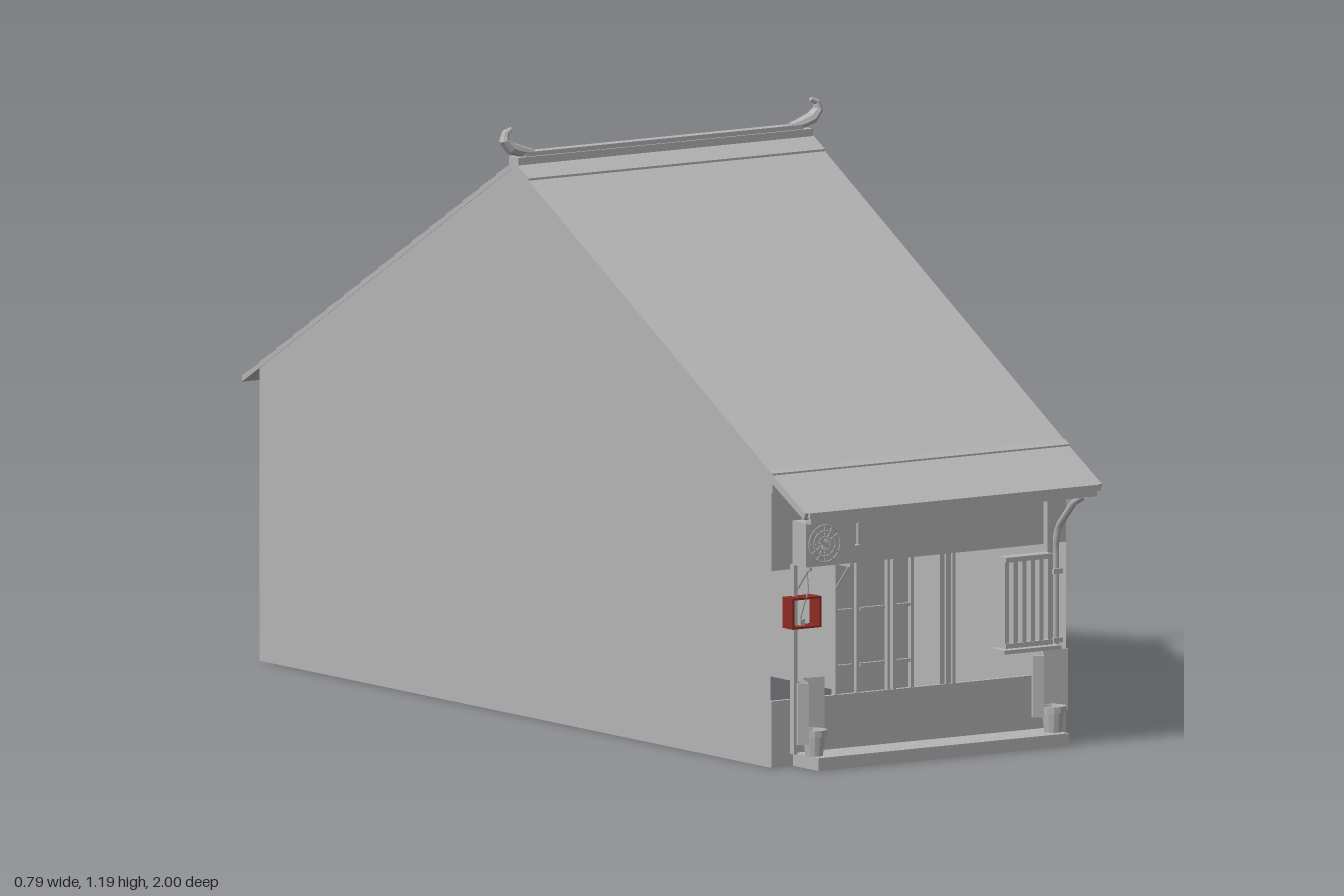
import * as THREE from 'three';

const grey = new THREE.MeshStandardMaterial({ color: 0xb4b4b4, side: THREE.DoubleSide });
grey.name = 'plain grey';
const red = new THREE.MeshStandardMaterial({ color: 0x8c2a22, side: THREE.DoubleSide });
red.name = 'dark red';

export function createModel() {
  const model = new THREE.Group();
  model.name = 'house';

  const add = (name, geo, mat = grey) => {
    const m = new THREE.Mesh(geo, mat);
    m.name = name;
    model.add(m);
    return m;
  };
  const box = (name, x0, x1, y0, y1, z0, z1, mat) => {
    const g = new THREE.BoxGeometry(x1 - x0, y1 - y0, z1 - z0);
    g.translate((x0 + x1) / 2, (y0 + y1) / 2, (z0 + z1) / 2);
    return add(name, g, mat);
  };
  // side outline as [z, y] points, swept along x
  const shapeOf = pts => new THREE.Shape(pts.map(([z, y]) => new THREE.Vector2(-z, y)));
  const profile = (name, pts, x0, x1) => {
    const g = new THREE.ExtrudeGeometry(shapeOf(pts), { depth: x1 - x0, bevelEnabled: false });
    g.rotateY(Math.PI / 2).translate(x0, 0, 0);
    return add(name, g);
  };
  const pipe = (name, pts, r, sides = 6) => {
    const path = new THREE.CurvePath();
    const v = pts.map(p => new THREE.Vector3(...p));
    for (let i = 1; i < v.length; i++) path.add(new THREE.LineCurve3(v[i - 1], v[i]));
    return add(name, new THREE.TubeGeometry(path, (v.length - 1) * 6, r, sides));
  };

  // side and back walls, open underneath
  for (const s of [-1, 1]) {
    const g = new THREE.ShapeGeometry(shapeOf([[0.87, 0], [0.87, 0.597], [-0.04, 1.118], [-0.94, 0.598], [-0.94, 0]]));
    g.rotateY(Math.PI / 2).translate(s * 0.361, 0, 0);
    if (s < 0) {
      // turn the far wall outward
      const a = g.index.array;
      for (let i = 0; i < a.length; i += 3) [a[i], a[i + 1]] = [a[i + 1], a[i]];
      g.computeVertexNormals();
    }
    add('sideWall', g);
  }
  box('backWall', -0.36, 0.36, 0, 0.595, -0.94, -0.935);

  // roof: plain front slope, shingle courses at the back
  profile('frontRoof', [[-0.04, 1.122], [0.88, 0.596], [0.88, 0.586], [-0.04, 1.111]], -0.362, 0.362);
  const courses = 16, back = [[-0.04, 1.111], [-0.04, 1.122]];
  for (let i = 1; i <= courses; i++) {
    const t = i / courses, z = -0.04 - 0.96 * t, y = 1.122 - 0.552 * t;
    back.push([z, y + 0.003], [z, y]);
  }
  back.push([-1, 0.56]);
  profile('shingledBackRoof', back, -0.362, 0.362);
  profile('ridgeFlashing', [[-0.03, 1.12], [0.015, 1.095], [0.015, 1.09], [-0.03, 1.115]], -0.362, 0.362);

  // ridge beam with curled tapering end horns
  box('ridgeBeam', -0.36, 0.36, 1.11, 1.132, -0.058, -0.024);
  box('ridgeCap', -0.34, 0.34, 1.132, 1.141, -0.053, -0.029);
  const hornPath = [[0.315, 1.137, 0.008], [0.345, 1.143, 0.012], [0.368, 1.151, 0.013],
    [0.384, 1.168, 0.01], [0.38, 1.183, 0.007], [0.366, 1.19, 0.004]];
  for (const s of [-1, 1]) {
    const pos = [], idx = [], n = 8, last = hornPath.length - 1;
    hornPath.forEach(([x, y, r], i) => {
      const a = hornPath[Math.max(i - 1, 0)], b = hornPath[Math.min(i + 1, last)];
      const l = Math.hypot(b[0] - a[0], b[1] - a[1]);
      const nx = -(b[1] - a[1]) / l, ny = (b[0] - a[0]) / l;
      for (let k = 0; k < n; k++) {
        const c = Math.cos(k / n * Math.PI * 2) * r, d = Math.sin(k / n * Math.PI * 2) * r;
        pos.push(s * (x + nx * c), y + ny * c, -0.041 + d * 1.2);
        const q = i * n + k, w = i * n + (k + 1) % n;
        if (i < last) {
          if (s > 0) idx.push(q, w, q + n, w, w + n, q + n);
          else idx.push(q, q + n, w, w, q + n, w + n);
        }
      }
    });
    for (let k = 1; k < n - 1; k++) {
      const e = last * n;
      idx.push(...(s > 0 ? [0, k + 1, k, e, e + k, e + k + 1] : [0, k, k + 1, e, e + k + 1, e + k]));
    }
    const g = new THREE.BufferGeometry();
    g.setAttribute('position', new THREE.Float32BufferAttribute(pos, 3));
    g.setIndex(idx);
    const flat = g.toNonIndexed();
    flat.computeVertexNormals();
    add('ridgeHorn', flat);
  }

  // front canopy, joint strip and gutter
  profile('canopy', [[0.868, 0.602], [0.996, 0.532], [0.99, 0.518], [0.868, 0.584]], -0.363, 0.362);
  profile('canopyJoint', [[0.862, 0.607], [0.88, 0.599], [0.88, 0.56], [0.865, 0.56]], -0.363, 0.363);
  box('gutterLip', -0.355, 0.355, 0.521, 0.532, 0.982, 1);
  box('gutter', -0.35, 0.35, 0.508, 0.521, 0.978, 0.996);

  // front wall: solid bands above and below an open middle
  box('lowerFrontWall', -0.36, 0.36, 0, 0.135, 0.862, 0.872);
  box('upperFrontWall', -0.36, 0.36, 0.4, 0.59, 0.862, 0.872);
  box('leftPost', 0.305, 0.318, 0.025, 0.52, 0.872, 0.886);
  box('rightPost', -0.315, -0.307, 0.025, 0.41, 0.872, 0.886);
  box('frontStep', -0.308, 0.305, 0, 0.026, 0.868, 0.962);

  // sliding door screens with bars
  box('doorPanel', -0.2, -0.01, 0.13, 0.402, 0.852, 0.86);
  box('doorEdge', 0.055, 0.09, 0.13, 0.402, 0.85, 0.866);
  box('doorEdgeTrim', 0.066, 0.074, 0.135, 0.4, 0.866, 0.872);
  box('doorEdgeTrim', 0.082, 0.089, 0.135, 0.4, 0.866, 0.872);
  for (const x of [-0.203, -0.151, -0.076, -0.062, -0.018])
    box('doorUpright', x, x + 0.007, 0.135, 0.4, 0.86, 0.87);
  for (const y of [0.187, 0.3])
    for (const [a, b] of [[-0.196, -0.158], [-0.14, -0.08], [-0.055, -0.015]])
      box('doorRail', a, b, y, y + 0.007, 0.86, 0.868);

  // barred window and its sill
  box('windowSill', 0.173, 0.312, 0.192, 0.2, 0.872, 0.925);
  box('windowFrame', 0.19, 0.305, 0.375, 0.385, 0.876, 0.905);
  box('windowFrame', 0.19, 0.305, 0.2, 0.21, 0.876, 0.905);
  for (let i = 0; i < 6; i++) {
    const x = 0.19 + i * 0.021;
    box('windowBar', x, x + 0.01, 0.205, 0.38, 0.88, 0.902);
  }

  // drain pipe
  pipe('drainPipe', [[0.327, 0.51, 0.985], [0.327, 0.49, 0.945], [0.327, 0.435, 0.89],
    [0.327, 0.4, 0.882], [0.327, 0.02, 0.882]], 0.007, 8);
  for (const y of [0.2, 0.34]) box('pipeClip', 0.316, 0.338, y, y + 0.01, 0.87, 0.892);

  // air conditioner with fan grille, brackets and valve
  box('airConditioner', -0.315, -0.195, 0.41, 0.5, 0.88, 0.928);
  for (const r of [0.014, 0.026, 0.038]) {
    const g = new THREE.TorusGeometry(r, 0.0018, 4, 24);
    add('fanRing', g.translate(-0.27, 0.455, 0.929));
  }
  for (let i = 0; i < 6; i++) {
    const g = new THREE.BoxGeometry(0.076, 0.002, 0.003).rotateZ(i * Math.PI / 6);
    add('fanSpoke', g.translate(-0.27, 0.455, 0.929));
  }
  for (const x of [-0.304, -0.205]) {
    box('bracketArm', x - 0.003, x + 0.003, 0.402, 0.41, 0.87, 0.93);
    pipe('bracketBrace', [[x, 0.404, 0.922], [x, 0.352, 0.874]], 0.003, 4);
  }
  box('valveBlock', -0.195, -0.168, 0.425, 0.442, 0.885, 0.91);
  pipe('valvePipe', [[-0.166, 0.425, 0.897], [-0.166, 0.485, 0.897]], 0.004);
  pipe('cable', [[-0.304, 0.405, 0.915], [-0.302, 0.36, 0.918], [-0.3, 0.33, 0.9], [-0.3, 0.3, 0.885]], 0.002, 4);

  // open red box with a small valve inside
  box('redBoxTop', -0.335, -0.265, 0.342, 0.346, 0.874, 0.91, red);
  box('redBoxBottom', -0.335, -0.265, 0.283, 0.287, 0.874, 0.91, red);
  box('redBoxSide', -0.335, -0.331, 0.283, 0.346, 0.874, 0.91, red);
  box('redBoxSide', -0.269, -0.265, 0.283, 0.346, 0.874, 0.91, red);
  box('redBoxValve', -0.306, -0.294, 0.287, 0.3, 0.88, 0.895);
  pipe('redBoxHandle', [[-0.303, 0.3, 0.89], [-0.294, 0.33, 0.89]], 0.003, 4);

  // folded boards and flower pots on both sides
  const board = (x0, y0, xs) => {
    const zs = [0.95, 0.96, 0.89, 0.9];
    const outer = xs.map((x, i) => new THREE.Vector2(x0 + x, -zs[i]));
    const inner = xs.map((x, i) => new THREE.Vector2(x0 + x, -zs[i] + 0.005)).reverse();
    const g = new THREE.ExtrudeGeometry(new THREE.Shape([...outer, ...inner]), { depth: 0.125, bevelEnabled: false });
    add('foldedBoard', g.rotateX(-Math.PI / 2).translate(0, y0, 0));
  };
  board(-0.35, 0.055, [0, 0.02, 0.05, 0.1]);
  board(0.225, 0.063, [0, 0.02, 0.063, 0.12]);
  for (const x of [-0.293, 0.291]) {
    const pts = [[0, 0], [0.018, 0], [0.022, 0.04], [0.027, 0.04], [0.027, 0.053], [0.022, 0.053], [0.02, 0.044], [0, 0.044]];
    const g = new THREE.LatheGeometry(pts.map(p => new THREE.Vector2(...p)), 12).toNonIndexed();
    g.computeVertexNormals();
    add('flowerPot', g.translate(x, 0.026, 0.925));
  }
  return model;
}
